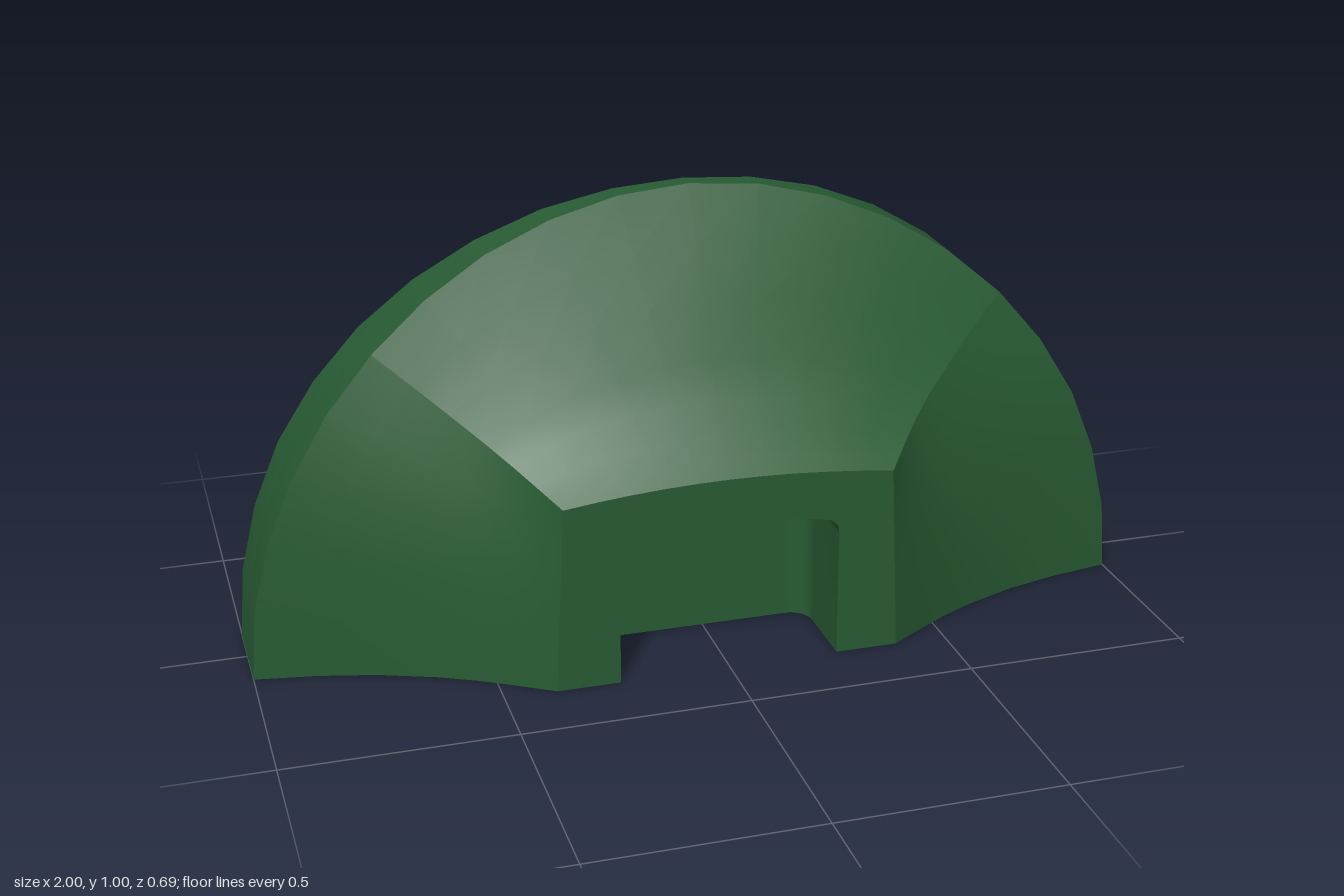
import * as THREE from 'three';

const COLS = 20, CORNER = 5, FACE_Z = 0.345;
const lerp = THREE.MathUtils.lerp;

// Piecewise-linear lookup in a short list of [input, output] pairs
function sample(table, t) {
  for (let i = 1; i < table.length; i++) {
    const [a, va] = table[i - 1], [b, vb] = table[i];
    if (t <= b) return lerp(va, vb, (t - a) / (b - a));
  }
  return table[table.length - 1][1];
}

// Flare height from raised face (1) to rim (0): towards the sides and towards the top
const STEPS = [0, 0.07, 0.14, 0.25, 0.38, 0.58, 0.78, 1];
const SIDE = [[0, 1], [0.14, 0.77], [0.25, 0.6], [0.38, 0.43], [0.58, 0.23], [0.77, 0.1], [1, 0]];
const TOP = [[0, 1], [0.1, 0.86], [0.207, 0.71], [0.333, 0.565], [0.53, 0.42], [0.73, 0.235], [1, 0]];
// Half width of the rim by angle in degrees above the ground
const RIM = [[0, 0.11], [27, 0.11], [45, 0.088], [63, 0.053], [81, 0.027], [90, 0.022]];

const rimWidth = j => sample(RIM, 90 - Math.abs(90 - j * 9));
const rimPoint = j => [Math.cos(j * Math.PI / COLS), Math.sin(j * Math.PI / COLS)];

// Edge of the raised face, counter-clockwise from the model's left foot
function faceEdge(j) {
  if (j > COLS / 2) {
    const [x, y] = faceEdge(COLS - j);
    return [-x, y];
  }
  if (j <= CORNER) return [0.385 - 0.02 * j / CORNER, 0.42 * j / CORNER];
  const u = (10 - j) / 5;
  return [0.365 * u, 0.445 - 0.025 * u * u];
}

function flarePoint(j, s) {
  const [ax, ay] = faceEdge(j), [bx, by] = rimPoint(j), w = rimWidth(j);
  const mix = 1 - Math.abs(10 - j) / 10;
  const f = lerp(sample(SIDE, s), sample(TOP, s), mix);
  return [lerp(ax, bx, s), lerp(ay, by, s), w + (FACE_Z - w) * f];
}

// Surface through rows of points
function loft(rows) {
  const n = rows[0].length, index = [];
  for (let i = 0; i < rows.length - 1; i++)
    for (let k = 0; k < n - 1; k++) {
      const a = i * n + k, b = a + n;
      index.push(a, a + 1, b, a + 1, b + 1, b);
    }
  const g = new THREE.BufferGeometry();
  g.setAttribute('position', new THREE.Float32BufferAttribute(rows.flat(2), 3));
  g.setIndex(index);
  g.computeVertexNormals();
  return g;
}

const range = (a, b) => Array.from({ length: b - a + 1 }, (_, i) => a + i);
const flat = pts => new THREE.ShapeGeometry(new THREE.Shape(pts.map(p => new THREE.Vector2(p[0], p[1]))));

// Arched pocket outline with rounded shoulders
const halfPocket = [[0.245, 0], [0.245, 0.285], [0.242, 0.305], [0.228, 0.32], [0.205, 0.326], [0.1, 0.341]];
const pocketEdge = [...halfPocket, [0, 0.345], ...halfPocket.map(([x, y]) => [-x, y]).reverse()];
// Inset and depth of the pocket, from its floor out to the face
const pocketRings = [[0.245, 0.135], [0.06, 0.135], [0.035, 0.136], [0.012, 0.15], [0.002, 0.17], [0, 0.19], [0, FACE_Z]];

export function createModel() {
  const green = new THREE.MeshStandardMaterial({ color: 0x285c34 });
  green.name = 'darkGreen';
  const model = new THREE.Group();
  model.name = 'flaredHalfDisc';

  const parts = [];
  // Flared skin, split at the two shoulder creases
  const flare = (a, b) => loft(range(a, b).map(j => STEPS.map(s => flarePoint(j, s))));
  parts.push(['leftFlare', flare(0, 5)], ['topFlare', flare(5, 15)], ['rightFlare', flare(15, 20)]);

  // Half of the rim band
  parts.push(['rim', loft(range(0, COLS).map(j => {
    const [x, y] = rimPoint(j);
    return [[x, y, rimWidth(j)], [x, y, 0]];
  }))]);

  // Raised face around the pocket
  const face = flat([...range(0, COLS).map(faceEdge), ...[...pocketEdge].reverse()]);
  face.translate(0, 0, FACE_Z);
  parts.push(['raisedFace', face]);

  // Pocket walls and floor
  parts.push(['pocket', loft(pocketEdge.map(([x, y]) =>
    pocketRings.map(([o, z]) => [x * (1 - o / 0.245), y * (1 - o / 0.345), z])))]);

  // Half of the underside with the pocket notch
  const side = STEPS.map(s => flarePoint(0, s)).map(p => [p[0], p[2]]).reverse();
  const notch = pocketRings.slice(2).reverse().map(([o, z]) => [0.245 - o, z]);
  const right = [...side, ...notch];
  const base = flat([[-1, 0], [1, 0], ...right, ...right.map(([x, z]) => [-x, z]).reverse()]);
  base.rotateX(Math.PI / 2);
  parts.push(['underside', base]);

  // Front half and its turned copy at the back
  for (const [name, turn] of [['frontHalf', 0], ['backHalf', Math.PI]]) {
    const half = new THREE.Group();
    half.name = name;
    half.rotation.y = turn;
    for (const [partName, geometry] of parts) {
      const mesh = new THREE.Mesh(geometry, green);
      mesh.name = partName;
      half.add(mesh);
    }
    model.add(half);
  }
  return model;
}
